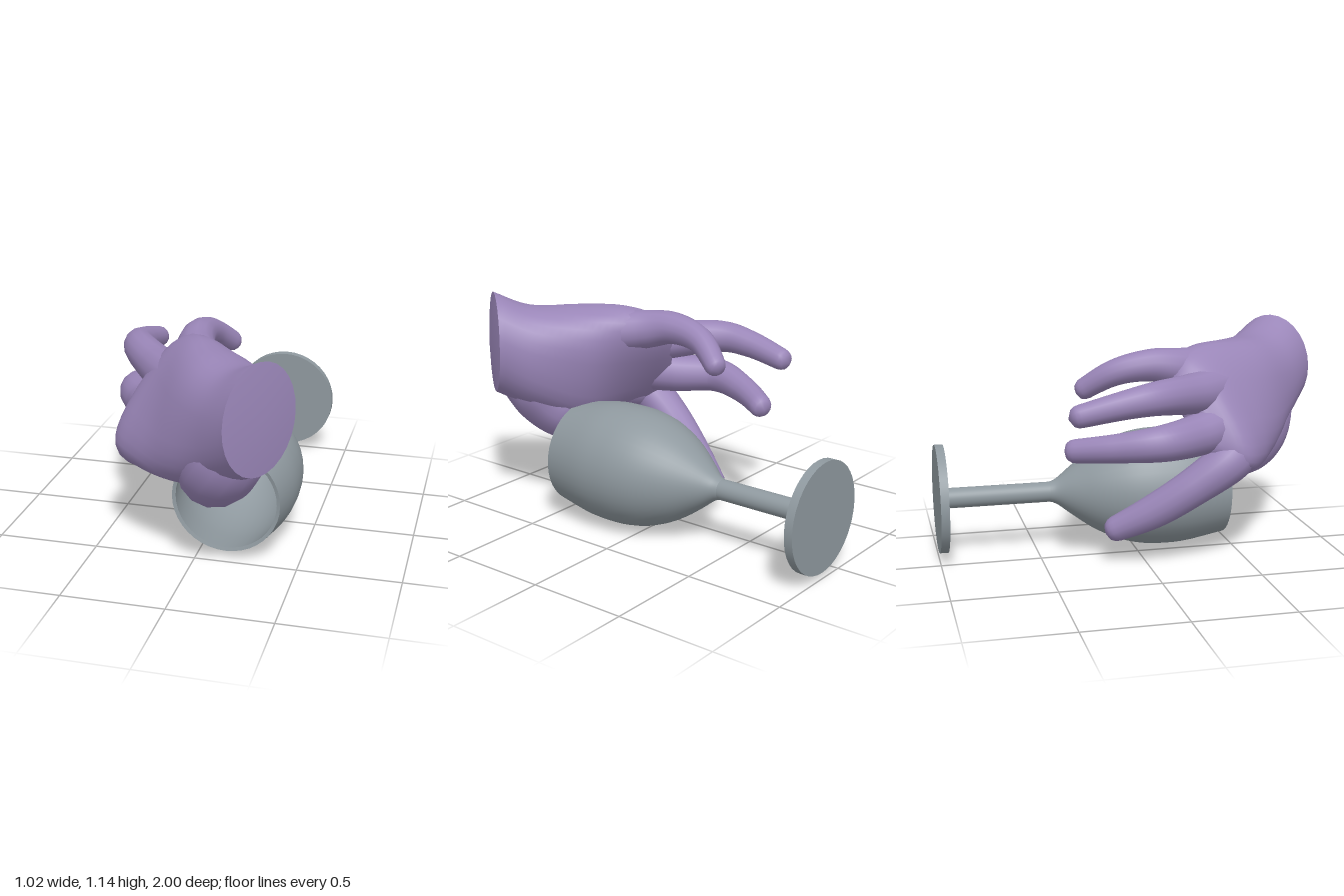
import * as THREE from 'three';
import { mergeVertices } from 'three/addons/utils/BufferGeometryUtils.js';

const skin = new THREE.MeshStandardMaterial({ color: 0x9a86b8 });
const glass = new THREE.MeshStandardMaterial({ color: 0x8f999f });

const V = (a) => new THREE.Vector3(a[0], a[1], a[2]);
const spline = (list) => new THREE.CatmullRomCurve3(list.map(V), false, 'catmullrom', 0.5);

function add(group, name, geometry, material) {
  const mesh = new THREE.Mesh(geometry, material);
  mesh.name = name;
  group.add(mesh);
  return mesh;
}

// Weld the seam so that smooth normals run all the way round
function smooth(geometry) {
  geometry.deleteAttribute('uv');
  geometry.deleteAttribute('normal');
  const welded = mergeVertices(geometry, 1e-5);
  welded.computeVertexNormals();
  return welded;
}

// Tapered digit along points [x, y, z, radius], ending in a round tip
function digit(points) {
  const path = spline(points);
  const radii = spline(points.map((p) => [p[3], 0, 0]));
  const rows = 48, sides = 14, length = path.getLength();
  const tip = points[points.length - 1][3];
  const geometry = new THREE.TubeGeometry(path, rows, 1, sides);
  const pos = geometry.attributes.position, v = new THREE.Vector3();
  for (let i = 0; i <= rows; i++) {
    const u = i / rows, centre = path.getPointAt(u);
    let r = radii.getPoint(path.getUtoTmapping(u)).x;
    const rest = (1 - u) * length;
    if (rest < tip) r *= Math.sqrt(Math.max(0, 1 - ((tip - rest) / tip) ** 2));
    for (let j = 0; j <= sides; j++) {
      const k = i * (sides + 1) + j;
      v.fromBufferAttribute(pos, k).sub(centre).multiplyScalar(r).add(centre);
      pos.setXYZ(k, v.x, v.y, v.z);
    }
  }
  return smooth(geometry);
}

// Palm sections: centre, half width (towards the index side), half thickness (towards the back)
const sections = [
  [[0.385, 0.88, 0.835], [0.0, -0.26, 0.01], [-0.125, 0, 0.165]],
  [[0.255, 0.8, 0.7], [-0.01, -0.265, 0.02], [-0.14, 0.01, 0.17]],
  [[0.06, 0.75, 0.53], [-0.06, -0.31, 0.06], [-0.14, 0.04, 0.16]],
  [[-0.11, 0.755, 0.405], [-0.12, -0.3, 0.12], [-0.1, 0.06, 0.11]],
  [[-0.23, 0.755, 0.29], [-0.14, -0.255, 0.13], [-0.08, 0.05, 0.08]],
  [[-0.275, 0.755, 0.21], [-0.08, -0.15, 0.07], [-0.03, 0.02, 0.03]],
];

const SIDES = 28;

function palmRing(t) {
  const [c, w, n] = [0, 1, 2].map((k) => spline(sections.map((s) => s[k])).getPoint(t));
  // Oval at the wrist, squarer towards the knuckles
  const power = 1 - 0.2 * Math.min(1, t * 3);
  const squared = (x) => Math.sign(x) * Math.abs(x) ** power;
  const ring = [];
  for (let j = 0; j < SIDES; j++) {
    const a = (j / SIDES) * Math.PI * 2;
    ring.push(c.clone().addScaledVector(w, squared(Math.cos(a))).addScaledVector(n, squared(Math.sin(a))));
  }
  return { c, ring };
}

function palmGeometry() {
  const rows = 30, pos = [], index = [];
  for (let i = 0; i <= rows; i++) {
    for (const p of palmRing(i / rows).ring) pos.push(p.x, p.y, p.z);
  }
  for (let i = 0; i < rows; i++) {
    for (let j = 0; j < SIDES; j++) {
      const a = i * SIDES + j, b = i * SIDES + ((j + 1) % SIDES);
      index.push(a, a + SIDES, b, b, a + SIDES, b + SIDES);
    }
  }
  // Close the knuckle end
  const end = palmRing(1).c, last = rows * SIDES;
  pos.push(end.x, end.y, end.z);
  for (let j = 0; j < SIDES; j++) index.push(last + j, last + SIDES, last + ((j + 1) % SIDES));
  return indexed(pos, index);
}

// Slightly raised cut across the wrist
function wristGeometry() {
  const { c, ring } = palmRing(0);
  const pos = [c.x + 0.02, c.y, c.z + 0.016], index = [];
  ring.forEach((p, j) => {
    pos.push(p.x, p.y, p.z);
    index.push(0, 1 + j, 1 + ((j + 1) % SIDES));
  });
  return indexed(pos, index);
}

function indexed(pos, index) {
  const g = new THREE.BufferGeometry();
  g.setAttribute('position', new THREE.Float32BufferAttribute(pos, 3));
  // Make the winding face outwards
  const p = [0, 1, 2].map((k) => V(pos.slice(index[k] * 3, index[k] * 3 + 3)));
  const normal = p[1].clone().sub(p[0]).cross(p[2].clone().sub(p[0]));
  const inside = V(sections[1][0]);
  if (normal.dot(p[0].clone().sub(inside)) < 0) index.reverse();
  g.setIndex(index);
  g.computeVertexNormals();
  return g;
}

// Profile points are [radius, z]; the axis is turned to run along z
function turned(profile) {
  return new THREE.LatheGeometry(profile.map(([r, z]) => new THREE.Vector2(r, z)), 40).rotateX(Math.PI / 2);
}

function bowlCurve(points) {
  const c = new THREE.SplineCurve(points.map(([r, z]) => new THREE.Vector2(r, z)));
  return c.getPoints(28).map((p) => [p.x, p.y]);
}

export function createModel() {
  const model = new THREE.Group();

  // Goblet lying on its side, mouth to the front
  const goblet = new THREE.Group();
  goblet.name = 'goblet';
  goblet.position.set(0.145, 0.305, 0);
  model.add(goblet);
  const foot = new THREE.CylinderGeometry(0.272, 0.272, 0.042, 40).rotateX(Math.PI / 2);
  add(goblet, 'foot', foot, glass).position.z = -0.979;
  add(goblet, 'stem', turned([[0.051, -0.96], [0.051, -0.43]]), glass);
  add(goblet, 'bowlOutside', turned(bowlCurve([
    [0.051, -0.43], [0.068, -0.39], [0.13, -0.31], [0.207, -0.2], [0.265, -0.08],
    [0.294, 0.03], [0.303, 0.14], [0.298, 0.27], [0.264, 0.465],
  ])), glass);
  add(goblet, 'rim', turned([[0.264, 0.465], [0.247, 0.46]]), glass);
  // The floor of the bowl rises to a small knob over the stem
  add(goblet, 'bowlInside', turned(bowlCurve([
    [0.247, 0.46], [0.278, 0.27], [0.284, 0.14], [0.272, 0.03], [0.242, -0.08],
    [0.185, -0.2], [0.11, -0.3], [0.05, -0.345], [0.025, -0.34], [0.0, -0.335],
  ])), glass);

  // Hand reaching over the bowl
  const hand = new THREE.Group();
  hand.name = 'hand';
  model.add(hand);
  add(hand, 'palm', palmGeometry(), skin);
  add(hand, 'wristCut', wristGeometry(), skin);
  const digits = {
    littleFinger: [[0.05, 0.93, 0.4, 0.11], [-0.06, 0.955, 0.21, 0.1], [-0.09, 0.98, 0.04, 0.08],
      [-0.07, 0.945, -0.14, 0.065], [0.015, 0.835, -0.31, 0.05]],
    ringFinger: [[-0.1, 0.85, 0.38, 0.12], [-0.25, 0.86, 0.21, 0.1], [-0.41, 0.88, 0.0, 0.083],
      [-0.442, 0.86, -0.18, 0.068], [-0.425, 0.805, -0.43, 0.052]],
    middleFinger: [[-0.2, 0.7, 0.4, 0.12], [-0.31, 0.67, 0.22, 0.102], [-0.42, 0.665, 0.02, 0.088],
      [-0.365, 0.64, -0.19, 0.07], [-0.23, 0.605, -0.415, 0.055]],
    indexFinger: [[-0.18, 0.6, 0.46, 0.13], [-0.305, 0.54, 0.39, 0.112], [-0.305, 0.42, 0.22, 0.095],
      [-0.24, 0.28, 0.02, 0.084], [-0.145, 0.155, -0.2, 0.058]],
    thumb: [[0.3, 0.77, 0.74, 0.14], [0.225, 0.67, 0.71, 0.18], [0.165, 0.58, 0.66, 0.185],
      [0.115, 0.505, 0.58, 0.17], [0.075, 0.445, 0.48, 0.125], [0.02, 0.35, 0.35, 0.092],
      [0.01, 0.29, 0.21, 0.085], [0.02, 0.27, 0.08, 0.06]],
  };
  for (const [name, points] of Object.entries(digits)) add(hand, name, digit(points), skin);

  return model;
}
